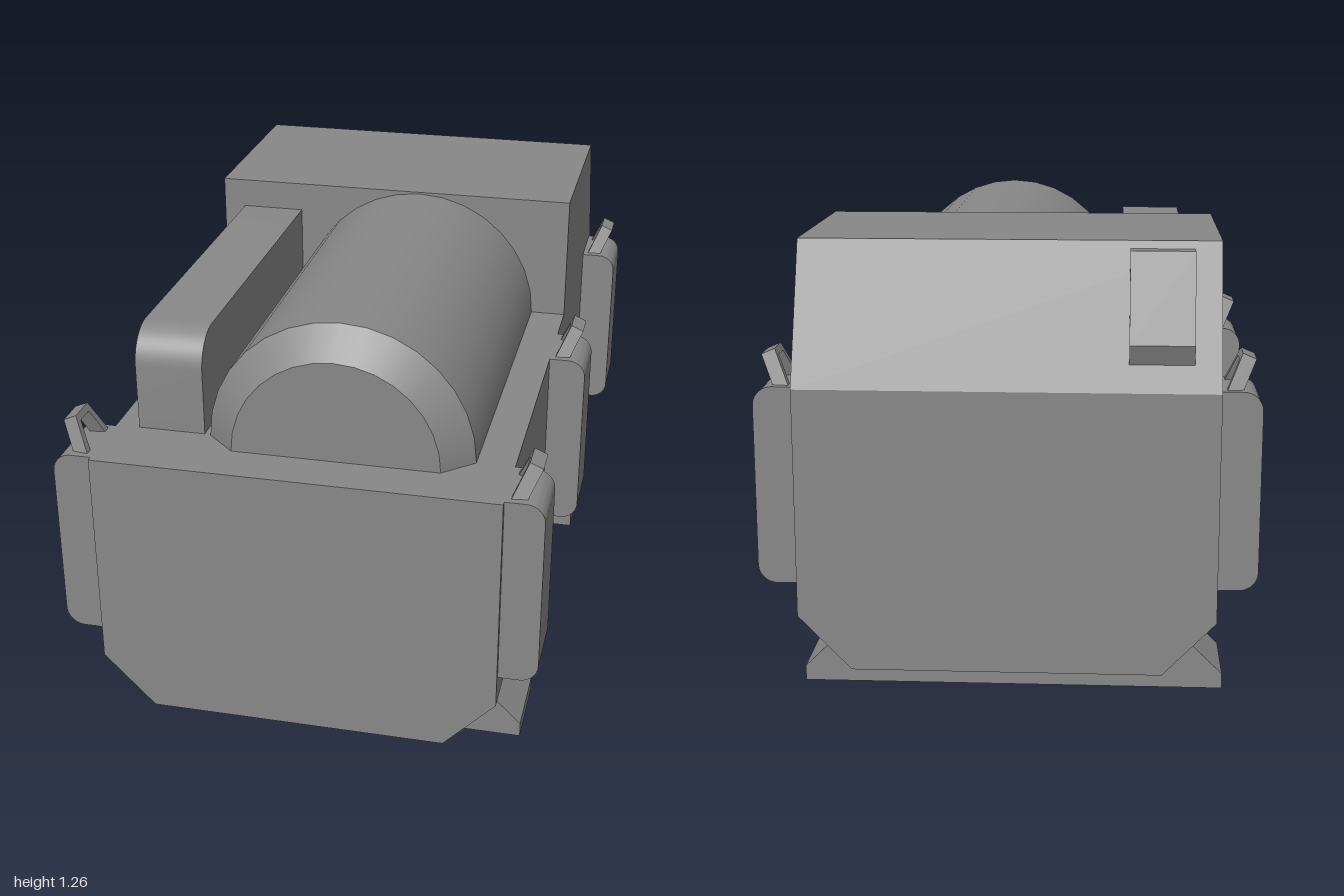
import * as THREE from 'three';
import { toCreasedNormals } from 'three/addons/utils/BufferGeometryUtils.js';

const grey = new THREE.MeshStandardMaterial({ color: 0x888888 });
grey.name = 'grey metal';
const sheet = grey.clone();
sheet.name = 'grey sheet metal';
sheet.side = THREE.DoubleSide;

const shapeOf = (pts) => new THREE.Shape(pts.map(([u, v]) => new THREE.Vector2(u, v)));

// Prism centred on its depth; profile in (x, y), running along z
function prism(shape, depth) {
  const g = new THREE.ExtrudeGeometry(shape, { depth, bevelEnabled: false, curveSegments: 6 });
  g.translate(0, 0, -depth / 2);
  return toCreasedNormals(g, 0.5);
}
// Profile in (z, y), running along x
const prismX = (shape, width) => prism(shape, width).rotateY(-Math.PI / 2);

function add(parent, name, geometry, x = 0, y = 0, z = 0, material = grey) {
  const m = new THREE.Mesh(geometry, material);
  m.name = name;
  m.position.set(x, y, z);
  parent.add(m);
  return m;
}

// Side post with rounded outer corners and a leaning lifting loop on top
function sidePost(side, z) {
  const group = new THREE.Group();
  group.name = side > 0 ? 'leftPost' : 'rightPost';
  const r = 0.05, x0 = 0.53, x1 = 0.65, y0 = 0.37, y1 = 0.895;
  const s = new THREE.Shape();
  s.moveTo(x0, y0);
  s.lineTo(x1 - r, y0);
  s.absarc(x1 - r, y0 + r, r, -Math.PI / 2, 0, false);
  s.absarc(x1 - r, y1 - r, r, 0, Math.PI / 2, false);
  s.lineTo(x0, y1);
  add(group, 'post', prism(s, 0.19));
  const arch = shapeOf([[-0.079, -0.015], [-0.041, 0.088], [0.041, 0.088], [0.079, -0.015],
    [0.056, -0.015], [0.028, 0.068], [-0.028, 0.068], [-0.056, -0.015]]);
  add(group, 'liftingLoop', prismX(arch, 0.038), 0.581, 0.896, 0).rotation.z = -0.41;
  group.position.z = z;
  group.rotation.y = side > 0 ? 0 : Math.PI;
  return group;
}

// Thin-walled foot, open underneath
function foot(z) {
  const group = new THREE.Group();
  group.name = 'foot';
  const h = 0.118;
  const profile = [[0.58, 0], [0.58, 0.042], [0.475, 0.145], [-0.475, 0.145], [-0.58, 0.042], [-0.58, 0]];
  const pos = [];
  for (let i = 0; i < profile.length - 1; i++) {
    const [ax, ay] = profile[i], [bx, by] = profile[i + 1];
    pos.push(ax, ay, h, ax, ay, -h, bx, by, -h, ax, ay, h, bx, by, -h, bx, by, h);
  }
  const strip = new THREE.BufferGeometry();
  strip.setAttribute('position', new THREE.Float32BufferAttribute(pos, 3));
  strip.computeVertexNormals();
  add(group, 'footTopAndEnds', strip, 0, 0, 0, sheet);
  const wall = new THREE.ShapeGeometry(shapeOf(profile));
  add(group, 'footFrontWall', wall, 0, 0, h, sheet);
  add(group, 'footBackWall', wall.clone().rotateY(Math.PI), 0, 0, -h, sheet);
  group.position.z = z;
  return group;
}

export function createModel() {
  const model = new THREE.Group();
  model.name = 'generator';

  // Main tub with chamfered lower edges
  add(model, 'body', prism(shapeOf([[-0.405, 0.145], [0.405, 0.145], [0.545, 0.29],
    [0.545, 0.895], [-0.545, 0.895], [-0.545, 0.29]]), 2));

  // Rear housing with sloped back
  add(model, 'rearHousing', prismX(shapeOf([[-1, 0.895], [-0.24, 0.895], [-0.24, 1.26], [-0.845, 1.26]]), 1.09));

  // Small hatch on the slope
  add(model, 'hatch', prismX(shapeOf([[-0.853, 1.24], [-0.897, 1.24], [-0.99, 1.015], [-0.971, 0.962]]), 0.165), -0.393);

  // Half-round tank with a bevelled front
  const tank = new THREE.Group();
  tank.name = 'tank';
  const half = (rFront, rBack, len) =>
    new THREE.CylinderGeometry(rFront, rBack, len, 16, 1, true, Math.PI / 2, Math.PI).rotateX(Math.PI / 2);
  add(tank, 'tankShell', half(0.36, 0.36, 1.035), 0, 0, 0.2775);
  add(tank, 'tankBevel', half(0.28, 0.36, 0.075), 0, 0, 0.8325);
  add(tank, 'tankFront', new THREE.CircleGeometry(0.28, 16, 0, Math.PI), 0, 0, 0.87);
  tank.position.set(0.083, 0.895, 0);
  model.add(tank);

  // Long duct beside the tank, rounded at its top front edge
  const duct = new THREE.Shape();
  duct.moveTo(-0.24, 0.895);
  duct.lineTo(0.79, 0.895);
  duct.absarc(0.69, 1.075, 0.1, 0, Math.PI / 2, false);
  duct.lineTo(-0.24, 1.175);
  add(model, 'duct', prismX(duct, 0.185), -0.387);

  // Posts along both sides, feet below
  for (const side of [1, -1]) for (const z of [0.89, 0.01, -0.873]) model.add(sidePost(side, z));
  for (const z of [0.612, -0.608]) model.add(foot(z));

  return model;
}
